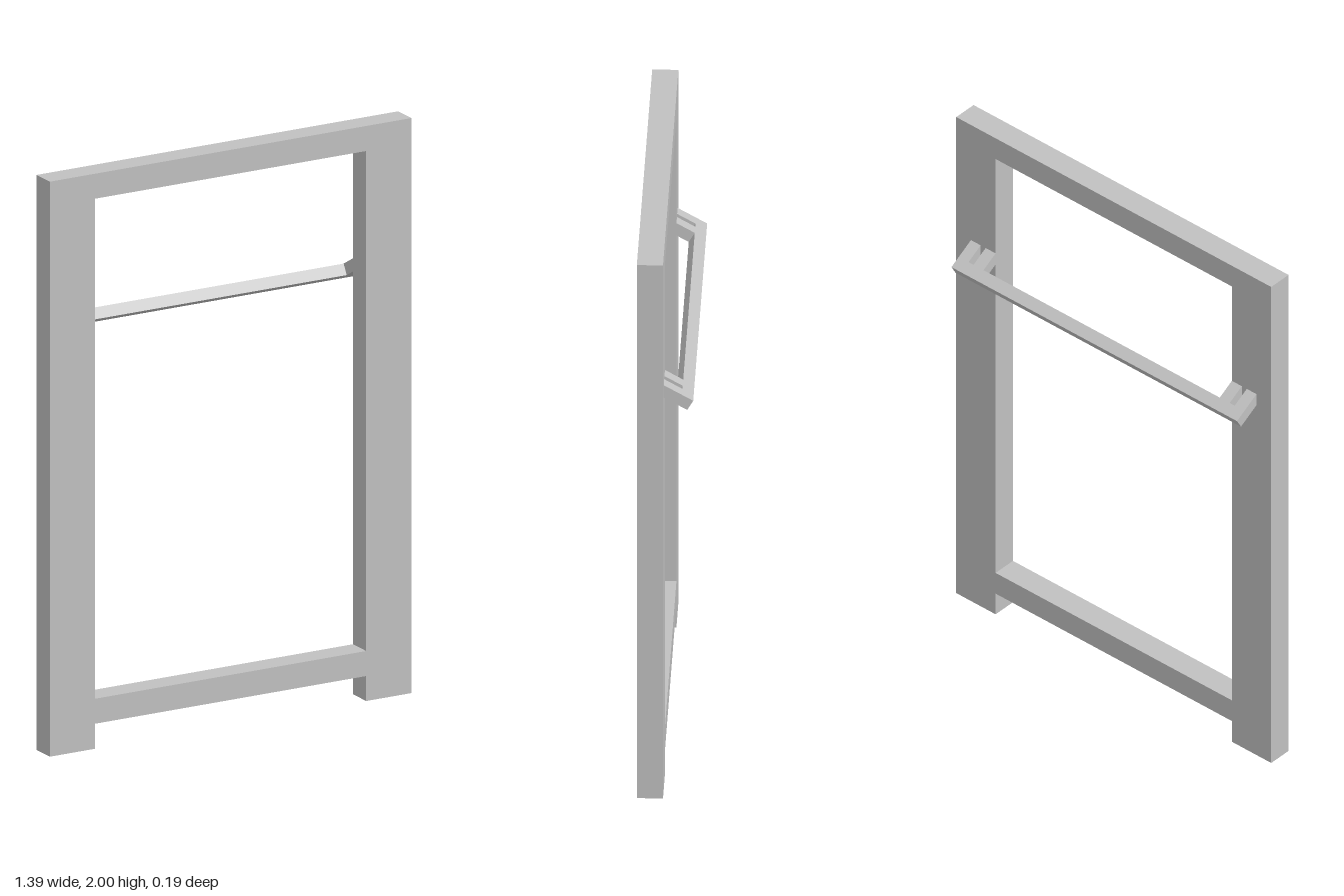
import * as THREE from 'three';

const shapeFrom = (pts) => new THREE.Shape(pts.map(([x, y]) => new THREE.Vector2(x, y)));
// Closes a half outline (given on +x) with its mirror image
const mirrored = (half) => [...half, ...half.map(([x, y]) => [-x, y]).reverse()];

export function createModel() {
  const grey = new THREE.MeshStandardMaterial({ color: 0xc0c0c0 });
  grey.name = 'light grey';
  const model = new THREE.Group();
  model.name = 'uprightFrame';

  const outer = 0.696, inner = 0.522;      // posts, half widths
  const backZ = 0.0055, depth = 0.087;     // frame thickness

  // Frame: two posts, top rail and raised bottom rail
  const outline = shapeFrom(mirrored([[inner, 0.087], [inner, 0], [outer, 0], [outer, 2]]));
  outline.holes.push(new THREE.Path(
    mirrored([[inner, 1.913], [inner, 0.174]]).map(([x, y]) => new THREE.Vector2(x, y))));
  const frame = new THREE.Mesh(
    new THREE.ExtrudeGeometry(outline, { depth, bevelEnabled: false }), grey);
  frame.name = 'frame';
  frame.position.z = backZ;
  model.add(frame);

  // Sloping crossbar with two prongs at each end, drawn flat then tilted
  const tilt = Math.PI / 6, rearZ = -0.0925, rearY = 1.46;
  const bar = 0.043, reach = (backZ - rearZ) / Math.cos(tilt);
  const comb = shapeFrom(mirrored([
    [0.631, 0], [0.631, reach], [0.588, reach], [0.588, bar],
    [0.566, bar], [0.566, reach], [inner, reach], [inner, bar],
  ]));
  const geo = new THREE.ExtrudeGeometry(comb, { depth: 0.04, bevelEnabled: false });
  geo.rotateX(Math.PI / 2 - tilt);
  geo.translate(0, rearY, rearZ);

  // Trim the prong tips flush against the back of the posts
  const p = geo.attributes.position;
  for (let i = 0; i < p.count; i++) {
    const over = p.getZ(i) - backZ;
    if (over > 0) {
      p.setZ(i, backZ);
      p.setY(i, p.getY(i) - over * Math.tan(tilt));
    }
  }
  geo.computeVertexNormals();
  const crossbar = new THREE.Mesh(geo, grey);
  crossbar.name = 'prongedCrossbar';
  model.add(crossbar);

  return model;
}
